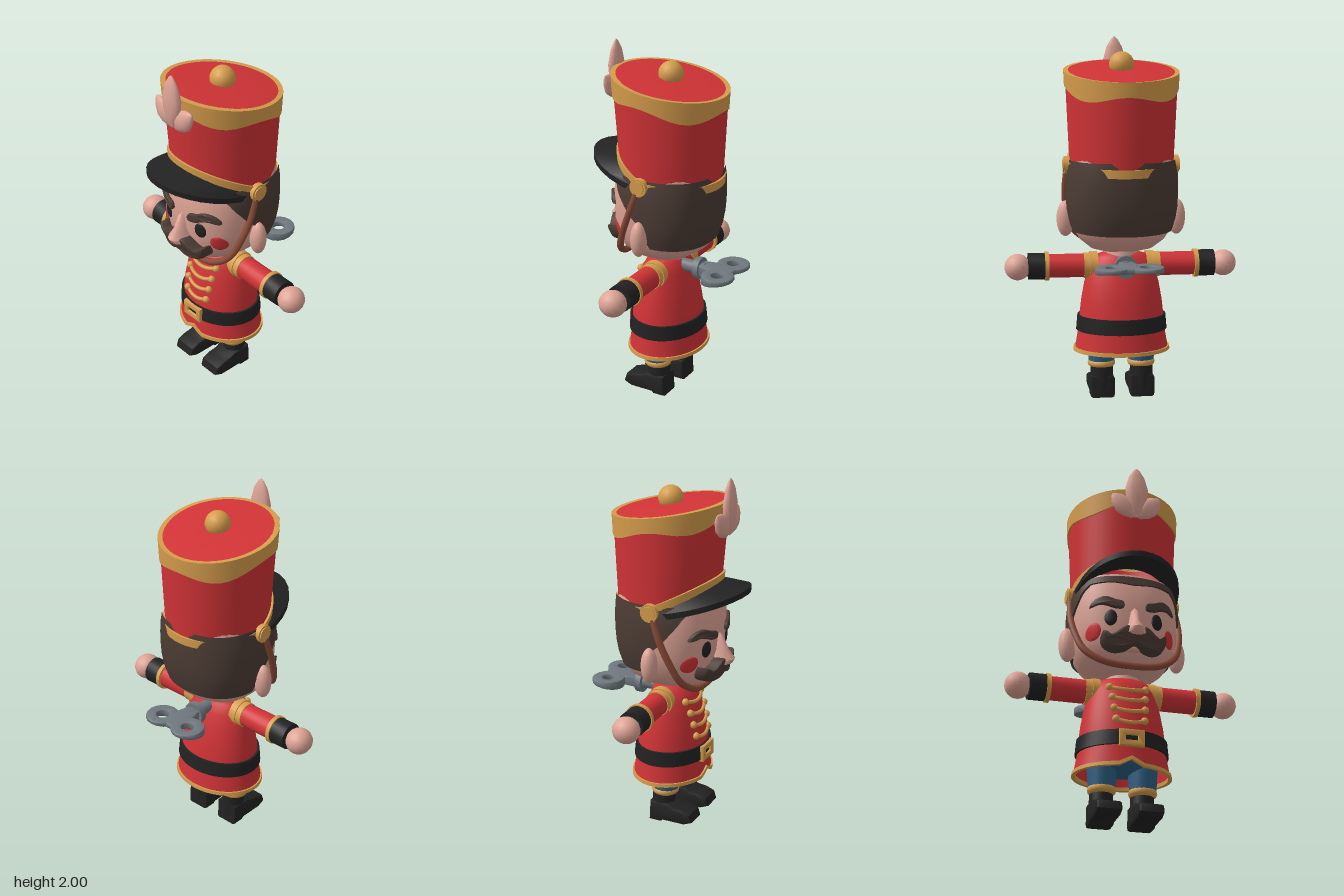
import * as THREE from 'three';
import { toCreasedNormals } from 'three/addons/utils/BufferGeometryUtils.js';

const mat = (name, color, side = THREE.FrontSide) => {
  const m = new THREE.MeshStandardMaterial({ color, side });
  m.name = name;
  return m;
};

// Profiles: rows of [y, half width, depth to front, depth to back]
const HEAD = [[0.82, 0, 0, 0], [0.826, 0.1, 0.14, 0.06], [0.85, 0.175, 0.21, 0.15], [0.9, 0.235, 0.25, 0.225],
  [0.96, 0.272, 0.268, 0.26], [1.05, 0.293, 0.28, 0.28], [1.15, 0.298, 0.284, 0.288], [1.25, 0.296, 0.28, 0.29], [1.36, 0.275, 0.25, 0.28]];
const BODY = [[0.275, 0.262, 0.212, 0.208], [0.38, 0.243, 0.203, 0.193], [0.47, 0.235, 0.198, 0.183], [0.55, 0.226, 0.188, 0.17],
  [0.65, 0.208, 0.17, 0.15], [0.74, 0.183, 0.144, 0.115], [0.8, 0.15, 0.112, 0.09], [0.82, 0.09, 0.08, 0.07], [0.822, 0, 0, 0]];
const HAT = [[1.28, 0.285, 0.255, 0.298], [1.87, 0.312, 0.305, 0.325]];
const NOSE = [[0.95, 0, 0, 0], [0.957, 0.045, 0.07, 0.02], [0.975, 0.07, 0.105, 0.02], [1.0, 0.062, 0.118, 0.02],
  [1.05, 0.035, 0.08, 0.02], [1.12, 0.026, 0.05, 0.02], [1.15, 0, 0.02, 0.02]];
const HEAD_E = 0.85;

const pw = (v, e) => Math.sign(v) * Math.abs(v) ** e;
function sizeAt(p, y) {
  let i = 0;
  while (i < p.length - 2 && y > p[i + 1][0]) i++;
  const t = THREE.MathUtils.clamp((y - p[i][0]) / (p[i + 1][0] - p[i][0]), 0, 1);
  return [1, 2, 3].map(k => p[i][k] + (p[i + 1][k] - p[i][k]) * t);
}
// Point on a profile at angle a (0 = front, turning towards +x)
function pointAt(p, a, y, off = 0, e = 1) {
  const [w, f, b] = sizeAt(p, y), s = Math.sin(a), c = Math.cos(a);
  return [pw(s, e) * (w + off), y, pw(c, e) * ((c > 0 ? f : b) + off)];
}
// Front surface depth of a profile at x, y
function frontZ(p, x, y, e = 1) {
  const [w, f] = sizeAt(p, y);
  const s = Math.min(1, Math.abs(x) / w) ** (1 / e);
  return f * (1 - s * s) ** (e / 2);
}
const crease = (g, angle = 0.75) => toCreasedNormals(g, angle);
function grid(nu, nv, fn, angle) {
  const pos = [], idx = [];
  for (let j = 0; j <= nv; j++) for (let i = 0; i <= nu; i++) pos.push(...fn(i / nu, j));
  for (let j = 0; j < nv; j++) for (let i = 0; i < nu; i++) {
    const a = j * (nu + 1) + i, d = a + nu + 1;
    idx.push(a, a + 1, d + 1, a, d + 1, d);
  }
  const g = new THREE.BufferGeometry();
  g.setAttribute('position', new THREE.Float32BufferAttribute(pos, 3));
  g.setIndex(idx);
  return crease(g, angle);
}
const TAU = Math.PI * 2;
const turn = u => (u % 1) * TAU;
const loft = (p, n, e = 1) => grid(n, p.length - 1, (u, j) => pointAt(p, turn(u), p[j][0], 0, e));
// Closed strip around a profile between two heights given by angle
const band = (p, y0, y1, off, inner = -0.02, n = 48) => grid(n, 4, (u, j) => {
  const a = turn(u), k = j % 4;
  return pointAt(p, a, k === 1 || k === 2 ? y1(a) : y0(a), k < 2 ? off : inner);
}, 0.6);
const shapeOf = pts => new THREE.Shape(pts.map(q => new THREE.Vector2(...q)));
const curvedShape = pts => {
  const c = new THREE.CatmullRomCurve3(pts.map(q => new THREE.Vector3(q[0], q[1], 0)), true);
  return shapeOf(c.getPoints(pts.length * 3).slice(0, -1).map(v => [v.x, v.y]));
};
const extrude = (shape, depth, bevel) => new THREE.ExtrudeGeometry(shape,
  { depth, bevelEnabled: bevel > 0, bevelSize: bevel, bevelThickness: bevel, bevelSegments: 2, curveSegments: 8 });
function warp(g, fn) {
  const p = g.attributes.position;
  for (let i = 0; i < p.count; i++) p.setXYZ(i, ...fn(p.getX(i), p.getY(i), p.getZ(i)));
  return g;
}
const onFace = g => crease(warp(g, (x, y, z) => [x, y, z + frontZ(HEAD, x, y, HEAD_E)]));
const ball = (x, y, z, rx, ry = rx, rz = rx, n = 16) =>
  new THREE.SphereGeometry(1, n, Math.round(n * 0.7)).scale(rx, ry, rz).translate(x, y, z);
const tube = (pts, r, n) => new THREE.TubeGeometry(new THREE.CatmullRomCurve3(pts.map(q => new THREE.Vector3(...q))), n, r, 8);

export function createModel() {
  const red = mat('red', 0xd13336, THREE.DoubleSide), gold = mat('gold', 0xd69d4c), black = mat('black', 0x222222),
    skin = mat('skin', 0xdea496), hair = mat('dark brown', 0x4c3c34), leather = mat('leather brown', 0x8a4b38),
    steel = mat('steel', 0x6f787e), blue = mat('blue', 0x2d6084);
  const root = new THREE.Group();
  root.name = 'toySoldier';
  const add = (name, g, m) => {
    const mesh = new THREE.Mesh(g, m);
    mesh.name = name;
    root.add(mesh);
    return mesh;
  };

  // Head and hair
  add('head', loft(HEAD, 40, HEAD_E), skin);
  const hairline = [[0, 1.285], [20, 1.3], [48, 1.3], [56, 1.27], [70, 1.19], [80, 1.13], [89, 1.08], [94, 0.95], [180, 0.94]];
  const hairY = a => {
    const d = 180 - Math.abs(180 - a * 180 / Math.PI);
    const i = Math.max(1, hairline.findIndex(k => k[0] >= d - 1e-6));
    const [p, q] = [hairline[i - 1], hairline[i]];
    return p[1] + (q[1] - p[1]) * (d - p[0]) / (q[0] - p[0]);
  };
  add('hair', grid(90, 7, (u, j) => {
    const a = turn(u), y0 = hairY(a), t = Math.max(0, j - 1) / 6;
    return pointAt(HEAD, a, y0 + (1.34 - y0) * t, j ? 0.012 : -0.01, HEAD_E);
  }), hair);
  add('nose', loft(NOSE, 16).translate(0, 0, 0.255), skin);
  const half = [[0.05, 1.0], [0.1, 0.967], [0.135, 0.952], [0.165, 0.975], [0.155, 0.93], [0.11, 0.902], [0.055, 0.905]];
  add('moustache', onFace(extrude(curvedShape([[0, 0.985], ...half, [0, 0.93],
    ...half.map(([x, y]) => [-x, y]).reverse()]), 0.055, 0.012)), hair);
  add('lip', onFace(ball(0, 0.91, 0, 0.045, 0.018, 0.02)), skin);

  for (const s of [-1, 1]) {
    const side = s > 0 ? 'left' : 'right';
    // Face details
    add(side + 'Ear', ball(s * 0.31, 1.01, 0.01, 0.05, 0.1, 0.045), skin);
    add(side + 'Eye', onFace(ball(s * 0.128, 1.08, 0, 0.033, 0.046, 0.009)), black);
    add(side + 'Cheek', onFace(ball(s * 0.21, 1.01, 0, 0.035, 0.048, 0.009)), red);
    add(side + 'Brow', onFace(extrude(curvedShape([[0.068, 1.14], [0.07, 1.165], [0.11, 1.177], [0.16, 1.198], [0.205, 1.187],
      [0.228, 1.155], [0.19, 1.165], [0.15, 1.157], [0.11, 1.14]].map(([x, y]) => [s * x, y])), 0.015, 0.006)), hair);
    // Strap button
    for (const [r, w] of [[0.05, 0.03], [0.038, 0.042]])
      add(side + 'StrapButton', crease(new THREE.CylinderGeometry(r, r, w, 16).rotateZ(Math.PI / 2).translate(s * 0.302, 1.305, 0.01)), gold);

    // Arm
    const sleeve = (name, x0, x1, r, m) => add(side + name,
      crease(new THREE.CylinderGeometry(r, r, x1 - x0, 20).rotateZ(Math.PI / 2).translate(s * (x0 + x1) / 2, 0.745, 0.005)), m);
    sleeve('Sleeve', 0.1, 0.41, 0.066, red);
    sleeve('ShoulderTrim', 0.135, 0.178, 0.077, gold);
    sleeve('ShoulderTrimOuter', 0.178, 0.212, 0.071, gold);
    sleeve('CuffTrim', 0.405, 0.428, 0.08, gold);
    sleeve('Cuff', 0.425, 0.52, 0.074, black);
    add(side + 'Hand', ball(s * 0.577, 0.742, 0.008, 0.073, 0.073, 0.077), skin);

    // Leg and boot
    const x = s * 0.112;
    add(side + 'Trouser', crease(new THREE.CylinderGeometry(0.085, 0.072, 0.18, 18).translate(x, 0.28, 0.012)), blue);
    add(side + 'BootTrim', new THREE.TorusGeometry(0.054, 0.024, 10, 24).rotateX(Math.PI / 2).translate(x, 0.188, 0.01), gold);
    add(side + 'BootShaft', crease(new THREE.CylinderGeometry(0.063, 0.066, 0.14, 18).translate(x, 0.115, 0)), black);
    const foot = shapeOf([[-0.05, 0.015], [0, 0.015], [0.012, 0.026], [0.15, 0.026], [0.183, 0.04], [0.175, 0.066],
      [0.13, 0.082], [0.08, 0.088], [0.05, 0.105], [-0.045, 0.105]]);
    add(side + 'BootFoot', crease(extrude(foot, 0.108, 0.015).translate(0, 0, -0.054).rotateY(-Math.PI / 2).translate(x, 0, 0)), black);
  }

  // Chin strap
  const strap = [[0.3, 1.29, 0.02], [0.308, 1.15, 0.07], [0.292, 1.03, 0.12], [0.25, 0.92, 0.165], [0.15, 0.85, 0.2]];
  add('chinStrap', tube([...strap, [0, 0.832, 0.21], ...strap.map(([x, y, z]) => [-x, y, z]).reverse()], 0.019, 48), leather);

  // Tall hat with sloping rim and arched lower edge
  const brimY = a => 1.305 + Math.cos(a) * (Math.cos(a) > 0 ? 0.135 : 0.022);
  const rimY = a => 1.82 + 0.05 * Math.cos(a);
  add('hatCrown', band(HAT, brimY, a => rimY(a) - 0.01, 0), red);
  add('hatBand', band(HAT, a => brimY(a) - 0.022, a => brimY(a) + 0.024, 0.012), gold);
  add('hatRim', band(HAT, a => rimY(a) - 0.1 + 0.02 * Math.cos(4 * a), rimY, 0.008), gold);
  add('hatTop', grid(48, 5, (u, j) => {
    const a = turn(u), k = 1 - j / 5, [x, , z] = pointAt(HAT, a, rimY(a), -0.018);
    return [x * k, 1.82 + 0.05 * Math.cos(a) * k + 0.014 * (1 - k * k), z * k];
  }), red);
  add('pompom', ball(0, 1.855, -0.01, 0.069), gold);
  add('visor', grid(16, 4, (u, j) => {
    const a = (u - 0.5) * Math.PI * 1.04, c = Math.max(0, Math.cos(a)), k = j % 4;
    const drop = k === 0 || k === 3 ? 0.032 : 0;
    if (k < 2) return [0.292 * Math.sin(a), 1.3 + 0.11 * c - drop, 0.05 + 0.392 * c ** 0.85];
    const [x, y, z] = pointAt(HAT, a, brimY(a), -0.015);
    return [x, y - 0.012 - drop, z];
  }), black);

  // Plume of three leaves
  const leafProfile = [[0, 0], [0.03, 0.03], [0.058, 0.1], [0.066, 0.17], [0.045, 0.25], [0.018, 0.295], [0, 0.31]];
  for (const [name, w, h, tilt, z] of [['plumeCentre', 1, 1, 0, 0.332], ['plumeLeft', 0.9, 0.62, -0.8, 0.318], ['plumeRight', 0.9, 0.62, 0.8, 0.318]])
    add(name, new THREE.LatheGeometry(leafProfile.map(q => new THREE.Vector2(...q)), 14)
      .scale(w, h, 0.5).rotateZ(tilt).translate(0, 1.69, z), skin);

  // Coat, belt and hem with a notch at the front
  const hemY = a => 0.275 + 0.035 * Math.max(0, 1 - Math.abs(Math.sin(a)) / 0.25) * (Math.cos(a) > 0 ? 1 : 0);
  add('coat', grid(48, BODY.length - 1, (u, j) => pointAt(BODY, turn(u), j ? BODY[j][0] : hemY(turn(u)))), red);
  add('hem', band(BODY, a => hemY(a) - 0.008, a => hemY(a) + 0.012, 0.009, -0.012), gold);
  add('belt', band(BODY, () => 0.385, () => 0.468, 0.012), black);
  add('neck', new THREE.CylinderGeometry(0.09, 0.1, 0.06, 20).translate(0, 0.82, 0.01), skin);
  add('hips', ball(0, 0.35, 0, 0.2, 0.07, 0.15), blue);
  const buckle = shapeOf([[-0.062, -0.04], [0.062, -0.04], [0.062, 0.04], [-0.062, 0.04]]);
  buckle.holes.push(new THREE.Path([[-0.04, -0.02], [-0.04, 0.02], [0.04, 0.02], [0.04, -0.02]].map(q => new THREE.Vector2(...q))));
  add('buckle', crease(extrude(buckle, 0.02, 0.006).translate(0, 0.42, 0.2)), gold);

  // Braids and buttons
  [[0.735, 0.1], [0.668, 0.09], [0.6, 0.085], [0.532, 0.078]].forEach(([y, w]) => {
    const pts = [-1, -0.5, 0, 0.5, 1].map(t => {
      const py = y - 0.018 * (1 - t * t);
      return [t * w, py, frontZ(BODY, t * w, py) + 0.004];
    });
    add('braid', tube(pts, 0.011, 20), gold);
    for (const q of [pts[0], pts[4]]) add('button', ball(...q, 0.021, 0.021, 0.021, 12), gold);
  });

  // Wind-up key: shaft, collar and a flat tapering handle with two eyes
  const shaft = (name, r, z, len) => add(name, crease(new THREE.CylinderGeometry(r, r, len, 16).rotateX(Math.PI / 2).translate(0, 0.768, z)), steel);
  shaft('keyShaft', 0.036, -0.15, 0.16);
  shaft('keyCollar', 0.063, -0.193, 0.034);
  const flat = shape => crease(warp(extrude(shape, 0.03, 0.008).translate(0, 0, -0.015).rotateX(-Math.PI / 2), (x, y, z) => {
    const d = -z - 0.2;
    return [x, y * (1.4 - d * 3.6) + 0.768 + d * 0.07, z];
  }));
  add('keyWeb', flat(shapeOf([[-0.03, 0.2], [0.03, 0.2], [0.048, 0.27], [0.046, 0.4], [-0.046, 0.4], [-0.048, 0.27]])), steel);
  for (const s of [-1, 1]) {
    const eye = new THREE.Shape().absarc(s * 0.094, 0.356, 0.084, 0, TAU, false);
    eye.holes.push(new THREE.Path().absarc(s * 0.094, 0.356, 0.044, 0, TAU, true));
    add('keyEye', flat(eye), steel);
  }
  return root;
}
